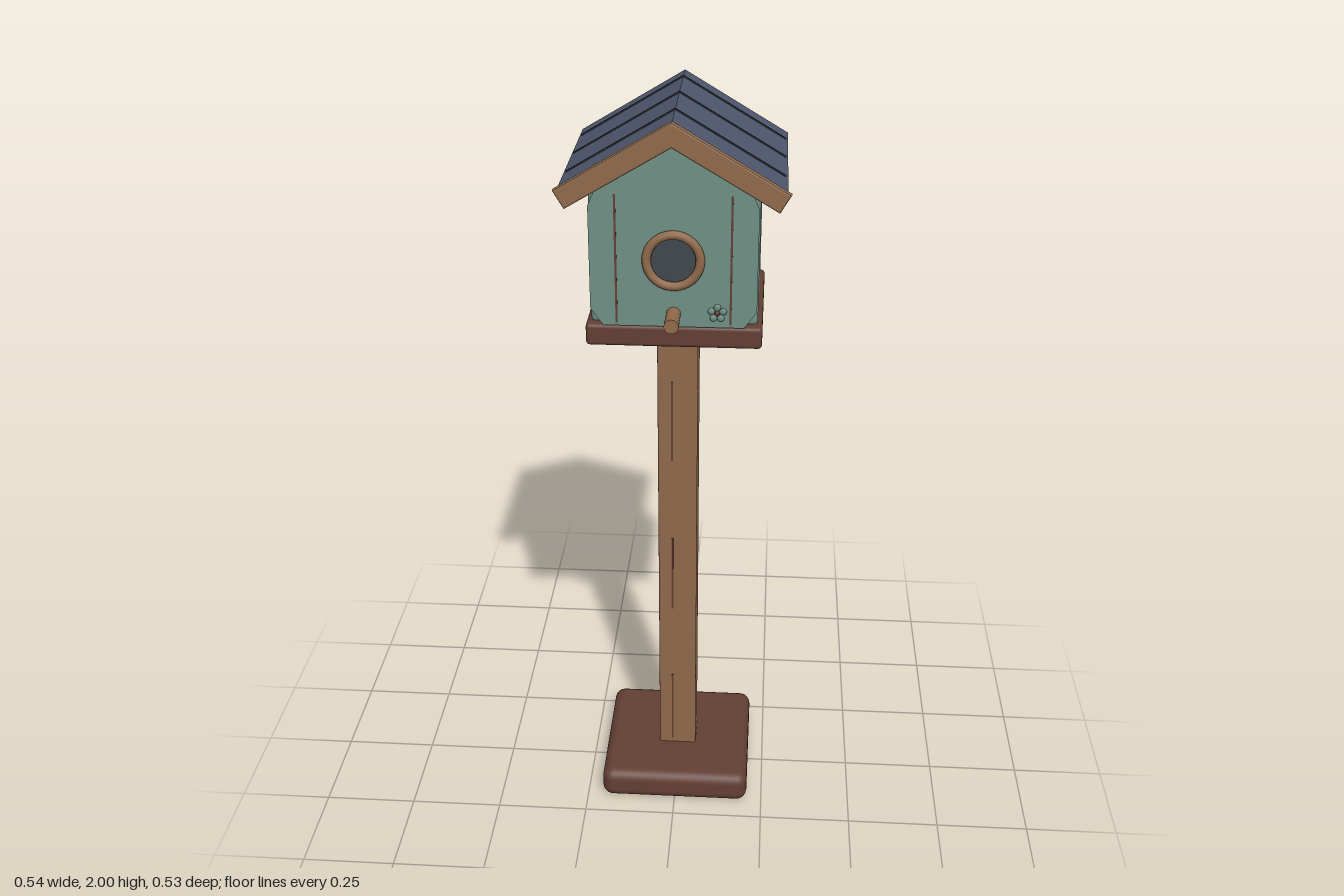
import * as THREE from 'three';
import { RoundedBoxGeometry } from 'three/addons/geometries/RoundedBoxGeometry.js';

const SLOPE = Math.atan(0.593);

function mat(name, color, side = THREE.FrontSide) {
  const m = new THREE.MeshStandardMaterial({ color, side });
  m.name = name;
  return m;
}

// Mitred inverted-V slab, extruded along z with a small bevel
function chevron(apexY, halfX, thick, z0, z1, bevel) {
  const eaveY = apexY - halfX * Math.tan(SLOPE);
  const inX = halfX - thick * Math.sin(SLOPE);
  const inY = eaveY - thick * Math.cos(SLOPE);
  const shape = new THREE.Shape([
    [0, apexY], [-halfX, eaveY], [-inX, inY],
    [0, apexY - thick / Math.cos(SLOPE)], [inX, inY], [halfX, eaveY],
  ].map(([x, y]) => new THREE.Vector2(x, y)));
  const g = new THREE.ExtrudeGeometry(shape, {
    depth: z1 - z0 - 2 * bevel, bevelEnabled: true, bevelSegments: 2,
    bevelSize: bevel, bevelThickness: bevel, bevelOffset: -bevel,
  });
  return g.translate(0, 0, z0 + bevel);
}

export function createModel() {
  const model = new THREE.Group();
  model.name = 'birdhouse';
  const wood = mat('wood', 0x906a4b);
  const darkWood = mat('dark wood', 0x633f34);
  const paint = mat('green paint', 0x6f9085);
  const sheet = mat('green front paint', 0x6f9086, THREE.DoubleSide);
  const slate = mat('slate roof', 0x4e566d);
  const dark = mat('dark gap', 0x2b2f34);
  const hollow = mat('hollow', 0x3f474f);

  function add(name, geometry, material, x = 0, y = 0, z = 0, parent = model) {
    const m = new THREE.Mesh(geometry, material);
    m.name = name;
    m.position.set(x, y, z);
    parent.add(m);
    return m;
  }
  const rounded = (w, h, d, r) => new RoundedBoxGeometry(w, h, d, 3, r);

  // Stand
  add('base', rounded(0.415, 0.09, 0.415, 0.03), darkWood, 0, 0.05, -0.011);
  add('post', rounded(0.104, 1.37, 0.104, 0.006), wood, 0, 0.765, -0.01);
  for (const y of [0.225, 0.685, 1.155]) {
    add('postGrain', new THREE.BoxGeometry(0.005, 0.23, 0.004), darkWood, -0.014, y, 0.043);
  }

  // House box and floor
  add('floor', rounded(0.428, 0.056, 0.398, 0.01), darkWood, 0, 1.459, -0.013);
  add('houseBody', rounded(0.405, 0.36, 0.362, 0.014), paint, 0, 1.66, -0.02);

  // Thin front panel with clipped corners and a round entrance
  const right = [[0.17, 1.487], [0.2, 1.53], [0.2, 1.785], [0.178, 1.835]];
  const outline = [...right, [0, 1.95], ...right.map(([x, y]) => [-x, y]).reverse()];
  const face = new THREE.Shape(outline.map(([x, y]) => new THREE.Vector2(x, y)));
  face.holes.push(new THREE.Path().absarc(0, 1.656, 0.06, 0, Math.PI * 2, true));
  add('frontPanel', new THREE.ShapeGeometry(face, 24), sheet, 0, 0, 0.186);
  for (const x of [-0.137, 0.137]) {
    add('panelGroove', new THREE.BoxGeometry(0.005, 0.32, 0.003), darkWood, x, 1.655, 0.186);
  }

  // Entrance and perch
  add('entranceHollow', new THREE.CircleGeometry(0.062, 32), hollow, 0, 1.656, 0.182);
  add('entranceRing', new THREE.TorusGeometry(0.064, 0.011, 10, 36), wood, 0, 1.656, 0.19);
  add('perch', new THREE.CylinderGeometry(0.018, 0.018, 0.08, 16).rotateX(Math.PI / 2),
    wood, 0, 1.52, 0.225);

  // Small flower ornament
  const flower = new THREE.Group();
  flower.name = 'flower';
  flower.position.set(0.105, 1.525, 0.188);
  model.add(flower);
  for (let i = 0; i < 5; i++) {
    const a = i * Math.PI * 0.4 + 0.3;
    add('petal', new THREE.SphereGeometry(0.009, 8, 6).scale(1, 1, 0.4), paint,
      Math.cos(a) * 0.015, Math.sin(a) * 0.015, 0, flower);
  }
  add('flowerCentre', new THREE.SphereGeometry(0.007, 8, 6).scale(1, 1, 0.5), darkWood, 0, 0, 0.001, flower);

  // Roof and its front trim
  add('roof', chevron(1.994, 0.263, 0.032, -0.265, 0.23, 0.008), slate);
  add('roofTrim', chevron(2.0, 0.272, 0.05, 0.226, 0.247, 0.004), wood);

  // Seams across both roof slopes
  for (const side of [-1, 1]) {
    const slope = new THREE.Group();
    slope.name = 'roofSeams';
    slope.position.y = 1.994;
    slope.rotation.z = -side * SLOPE;
    model.add(slope);
    for (const z of [-0.187, -0.036, 0.115]) {
      add('seam', new THREE.BoxGeometry(0.3, 0.005, 0.006), dark, side * 0.149, 0.0005, z, slope);
    }
  }
  return model;
}
